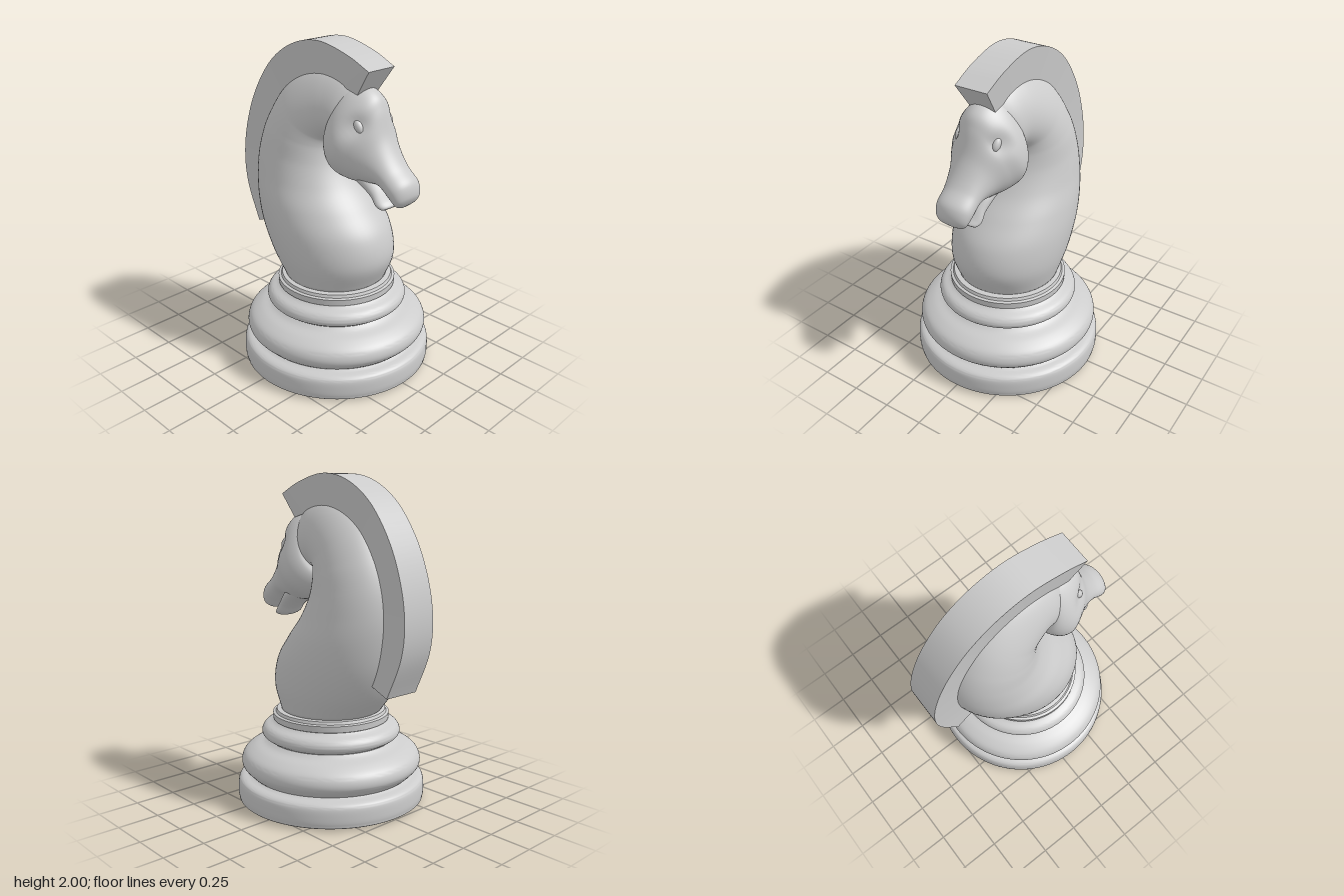
import * as THREE from 'three';
import { toCreasedNormals } from 'three/addons/utils/BufferGeometryUtils.js';

const mat = new THREE.MeshStandardMaterial({ color: 0xcccccc });

// Smooth loft through oval sections lying across the x = 0 plane.
// Each row: [z, y of lower/throat edge, z, y of upper/crest edge, half width, skew towards lower edge]
function loft(rows, steps, sides, reshape) {
  const low = new THREE.CatmullRomCurve3(rows.map(r => new THREE.Vector3(r[4], r[1], r[0])));
  const high = new THREE.CatmullRomCurve3(rows.map(r => new THREE.Vector3(r[5], r[3], r[2])));
  const pos = [], idx = [];
  for (let i = 0; i <= steps; i++) {
    const p = low.getPoint(i / steps), q = high.getPoint(i / steps);
    for (let j = 0; j < sides; j++) {
      const a = j / sides * Math.PI * 2, t = (1 - Math.cos(a)) / 2;
      const x = p.x * Math.sin(a) * (1 + q.x * Math.cos(a));
      const v = new THREE.Vector3(x, p.y + (q.y - p.y) * t, p.z + (q.z - p.z) * t);
      if (reshape) reshape(v);
      pos.push(v.x, v.y, v.z);
      if (i < steps) {
        const k = (j + 1) % sides, r = i * sides, s = r + sides;
        idx.push(r + j, r + k, s + k, r + j, s + k, s + j);
      }
    }
  }
  // End caps
  for (const [row, flip] of [[rows[0], true], [rows[rows.length - 1], false]]) {
    const c = pos.length / 3, r = flip ? 0 : steps * sides;
    pos.push(0, (row[1] + row[3]) / 2, (row[0] + row[2]) / 2);
    for (let j = 0; j < sides; j++) {
      const k = (j + 1) % sides;
      if (flip) idx.push(c, r + k, r + j);
      else idx.push(c, r + j, r + k);
    }
  }
  const g = new THREE.BufferGeometry();
  g.setAttribute('position', new THREE.Float32BufferAttribute(pos, 3));
  g.setIndex(idx);
  g.computeVertexNormals();
  return g;
}

// Turned base: each run is a smooth moulding, with crisp edges between runs
function baseGeometry() {
  const runs = [
    [[0, 0], [0.4, 0]],
    [[0.4, 0.008], [0.56, 0.01], [0.583, 0.03], [0.586, 0.08], [0.58, 0.13], [0.56, 0.152], [0.52, 0.163]],
    [[0.505, 0.172], [0.53, 0.195], [0.557, 0.23], [0.558, 0.27], [0.535, 0.31], [0.48, 0.345], [0.42, 0.368], [0.39, 0.388]],
    [[0.39, 0.39], [0.425, 0.415], [0.43, 0.445], [0.41, 0.475], [0.37, 0.495], [0.352, 0.508]],
    [[0.36, 0.512], [0.362, 0.55]],
    [[0.345, 0.555], [0.338, 0.572]],
    [[0.31, 0.576], [0, 0.576]],
  ];
  const pts = runs.flatMap(run => run.length === 2
    ? run.map(p => new THREE.Vector2(...p))
    : new THREE.SplineCurve(run.map(p => new THREE.Vector2(...p))).getPoints(run.length * 4));
  return toCreasedNormals(new THREE.LatheGeometry(pts, 96), 0.6);
}

// Mane: a box bent between an inner and an outer arc, a little wider outside
function maneGeometry() {
  const arc = pts => new THREE.CatmullRomCurve3(pts.map(([z, y]) => new THREE.Vector3(0, y, z)));
  const outer = arc([[0.397, 1.883], [0.244, 1.95], [0.016, 2], [-0.18, 1.963], [-0.366, 1.846],
    [-0.525, 1.634], [-0.62, 1.395], [-0.652, 1.18], [-0.63, 0.997], [-0.53, 0.758]]);
  const inner = arc([[0.3, 1.74], [0.18, 1.77], [0.03, 1.785], [-0.1, 1.75], [-0.25, 1.64],
    [-0.36, 1.48], [-0.43, 1.3], [-0.44, 1.13], [-0.42, 0.95], [-0.38, 0.81]]);
  const g = new THREE.BoxGeometry(2, 1, 1, 1, 2, 64);
  const p = g.attributes.position;
  for (let i = 0; i < p.count; i++) {
    const u = 0.5 - p.getZ(i), v = p.getY(i) + 0.5;
    const a = inner.getPoint(u).lerp(outer.getPoint(u), v);
    p.setXYZ(i, p.getX(i) * (0.085 + 0.018 * v + 0.017 * u), a.y, a.z);
  }
  g.computeVertexNormals();
  return g;
}

export function createModel() {
  const model = new THREE.Group();
  const add = (name, geometry) => {
    const m = new THREE.Mesh(geometry, mat);
    m.name = name;
    model.add(m);
    return m;
  };

  add('base', baseGeometry()).position.z = 0.065;

  // Neck, curling from the base up and over to the poll
  add('neck', loft([
    [0.37, 0.57, -0.25, 0.57, 0.31, 0],
    [0.432, 0.73, -0.37, 0.72, 0.345, 0],
    [0.40, 0.89, -0.45, 0.88, 0.356, 0],
    [0.297, 1.03, -0.49, 1.05, 0.343, 0],
    [0.19, 1.156, -0.5, 1.2, 0.312, 0],
    [0.12, 1.28, -0.475, 1.37, 0.282, 0],
    [0.09, 1.38, -0.41, 1.54, 0.255, 0.05],
    [0.095, 1.42, -0.3, 1.7, 0.225, 0.1],
    [0.11, 1.43, -0.14, 1.815, 0.2, 0.18],
    [0.13, 1.43, 0.03, 1.86, 0.18, 0.22],
    [0.17, 1.42, 0.19, 1.835, 0.165, 0.25],
    [0.24, 1.42, 0.31, 1.75, 0.12, 0.25],
  ], 77, 64));

  // Head, with hollowed eye sockets
  add('head', loft([
    [0.13, 1.44, 0.16, 1.78, 0.1, 0.2],
    [0.095, 1.385, 0.235, 1.79, 0.175, 0.25],
    [0.125, 1.315, 0.32, 1.768, 0.215, 0.3],
    [0.18, 1.262, 0.376, 1.73, 0.222, 0.32],
    [0.265, 1.232, 0.413, 1.66, 0.19, 0.25],
    [0.36, 1.235, 0.466, 1.5, 0.145, 0.1],
    [0.45, 1.243, 0.55, 1.37, 0.118, 0],
    [0.525, 1.195, 0.63, 1.295, 0.114, 0],
    [0.565, 1.158, 0.646, 1.225, 0.095, 0],
    [0.583, 1.148, 0.632, 1.187, 0.065, 0],
    [0.596, 1.15, 0.615, 1.166, 0.025, 0],
  ], 80, 64, v => {
    const d = ((v.z - 0.345) ** 2 + (v.y - 1.585) ** 2) / 0.0032;
    v.x -= Math.sign(v.x) * Math.min(Math.abs(v.x), 0.03 * Math.exp(-d));
  }));

  // Lower jaw and lip
  add('lowerJaw', loft([
    [0.25, 1.25, 0.3, 1.36, 0.12, 0],
    [0.35, 1.2, 0.4, 1.3, 0.11, 0],
    [0.41, 1.157, 0.455, 1.235, 0.1, 0],
    [0.443, 1.122, 0.498, 1.168, 0.1, 0],
    [0.475, 1.108, 0.522, 1.138, 0.08, 0],
    [0.497, 1.113, 0.515, 1.126, 0.03, 0],
  ], 40, 40));

  // Eyes
  for (const s of [1, -1]) {
    const eye = add(s > 0 ? 'leftEye' : 'rightEye', new THREE.SphereGeometry(1, 24, 16));
    eye.scale.set(0.024, 0.044, 0.026);
    eye.position.set(s * 0.122, 1.582, 0.345);
    eye.rotation.x = -0.6;
  }

  add('mane', maneGeometry());
  return model;
}
